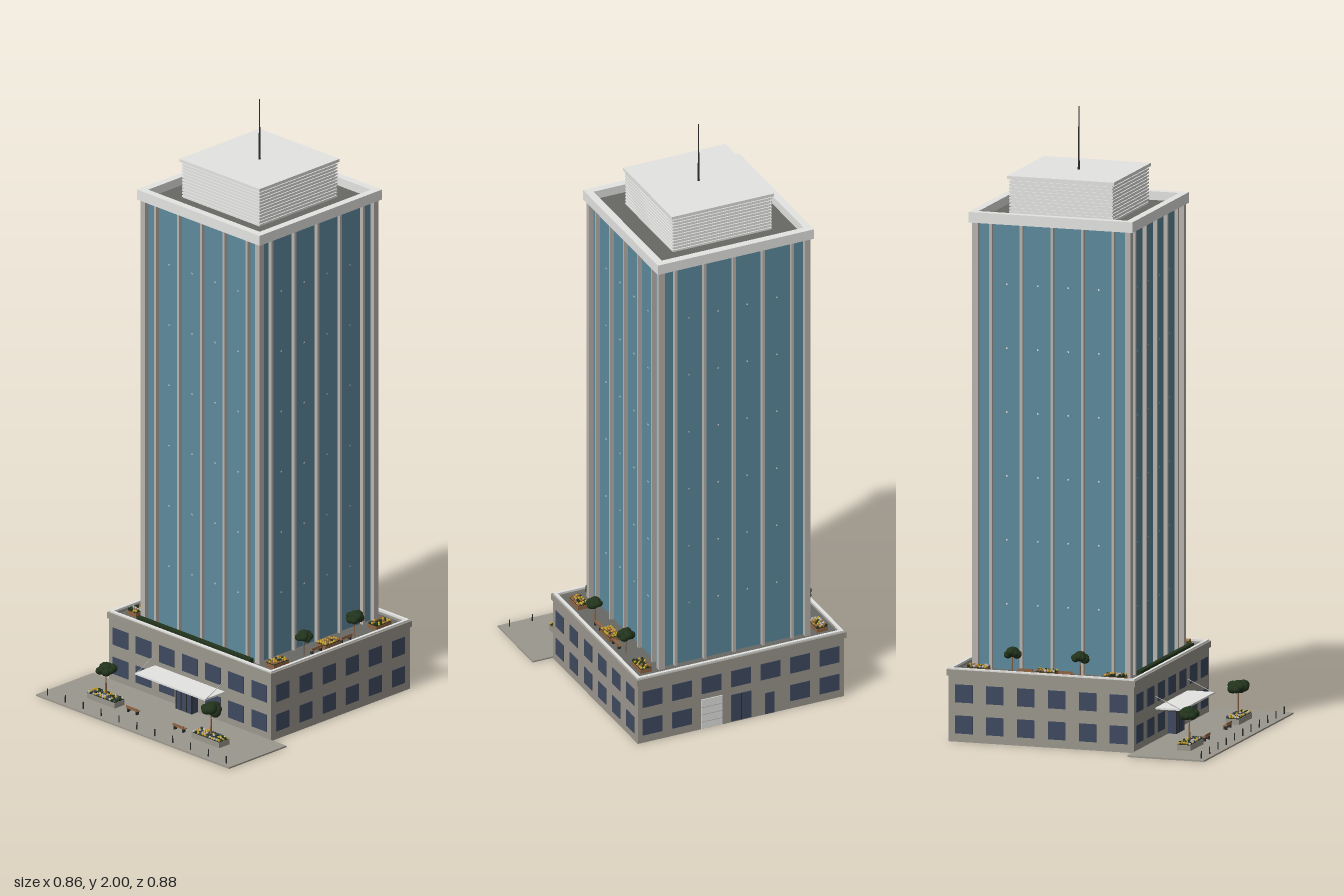
import * as THREE from 'three';
import { mergeGeometries } from 'three/addons/utils/BufferGeometryUtils.js';

const mat = (name, color) => Object.assign(new THREE.MeshStandardMaterial({ color }), { name });

export function createModel() {
  const M = {
    concrete: mat('concrete', 0x9b978e),
    light: mat('light panel', 0xe4e4e3),
    glass: mat('tower glass', 0x5d8a9d),
    window: mat('window glass', 0x3f4a5f),
    roof: mat('roof gravel', 0x686963),
    fin: mat('fin metal', 0xb9b4af),
    leaf: mat('foliage', 0x22341c),
    wood: mat('wood', 0x8f6444),
    metal: mat('dark metal', 0x2d2d2e),
    bloom: mat('yellow blooms', 0xc4a02f),
  };
  const model = new THREE.Group();
  model.name = 'officeTower';
  const CZ = -0.127; // shared centre of tower and podium

  let seed = 7;
  const rand = () => (seed = (seed * 16807) % 2147483647) / 2147483647;

  const group = (name, parent = model, x = 0, y = 0, z = 0) => {
    const g = new THREE.Group();
    g.name = name;
    g.position.set(x, y, z);
    parent.add(g);
    return g;
  };
  const add = (parent, name, geo, material, x = 0, y = 0, z = 0) => {
    const m = new THREE.Mesh(geo, material);
    m.name = name;
    m.position.set(x, y, z);
    parent.add(m);
    return m;
  };
  // box with its base at y
  const box = (parent, name, material, w, h, d, x, y, z) =>
    add(parent, name, new THREE.BoxGeometry(w, h, d), material, x, y + h / 2, z);
  // rectangular frame lying flat, hx and hz are outer half sizes
  const ring = (parent, name, material, hx, hz, t, y, h) => {
    const rect = (a, b, P) => new P([[-a, -b], [a, -b], [a, b], [-a, b]].map(p => new THREE.Vector2(...p)));
    const s = rect(hx, hz, THREE.Shape);
    s.holes.push(rect(hx - t, hz - t, THREE.Path));
    const geo = new THREE.ExtrudeGeometry(s, { depth: h, bevelEnabled: false });
    add(parent, name, geo.rotateX(-Math.PI / 2), material, 0, y, 0);
  };
  const rod = (parent, name, material, a, b, r) => {
    const p = new THREE.Vector3(...a), q = new THREE.Vector3(...b), d = q.clone().sub(p);
    const m = add(parent, name, new THREE.CylinderGeometry(r, r, d.length(), 8), material);
    m.position.copy(p).add(q).multiplyScalar(0.5);
    m.quaternion.setFromUnitVectors(new THREE.Vector3(0, 1, 0), d.normalize());
  };

  // ---- Podium ----
  const podium = group('podium', model, 0, 0, CZ);
  const PX = 0.362, PZ = 0.311;
  box(podium, 'podiumWalls', M.concrete, PX * 2, 0.218, PZ * 2, 0, 0, 0);
  box(podium, 'podiumRoof', M.roof, 0.71, 0.004, 0.62, 0, 0.217, 0);
  ring(podium, 'podiumCoping', M.concrete, 0.367, 0.316, 0.015, 0.212, 0.02);
  ring(podium, 'podiumCap', M.light, 0.361, 0.31, 0.01, 0.23, 0.007);
  ['front', 'right', 'back', 'left'].forEach((side, i) => {
    const face = group(side + 'Facade', podium);
    face.rotation.y = i * Math.PI / 2;
    const n = i % 2 ? 6 : 7, out = i % 2 ? PX : PZ, w = i % 2 ? 0.058 : 0.069;
    for (let k = 0; k < n; k++) {
      const c = k - (n - 1) / 2, u = c * 0.1035;
      for (const y of [0.027, 0.127]) {
        if (y < 0.1 && !(i % 2) && Math.abs(c) < (i ? 2 : 1)) continue; // doors go here
        box(face, 'windowPane', M.window, w, 0.058, 0.004, u, y, out);
      }
    }
    if (side === 'back') {
      // this face is turned round, so its u runs against x
      box(face, 'loadingDoor', M.light, 0.074, 0.105, 0.006, -0.103, 0.002, out);
      for (let k = 1; k < 4; k++)
        box(face, 'loadingDoorRib', M.fin, 0.074, 0.002, 0.007, -0.103, k * 0.026, out);
      box(face, 'rearGlazing', M.window, 0.069, 0.095, 0.004, 0, 0.004, out + 0.001);
      box(face, 'rearGlazingMullion', M.metal, 0.003, 0.095, 0.006, 0, 0.004, out + 0.001);
      box(face, 'serviceDoor', M.window, 0.032, 0.075, 0.005, 0.1, 0.002, out + 0.001);
    }
  });

  // ---- Entrance and canopy ----
  const entrance = group('entrance', model, 0, 0, 0.184);
  box(entrance, 'vestibule', M.window, 0.07, 0.074, 0.028, 0, 0.004, 0.014);
  box(entrance, 'vestibuleRoof', M.metal, 0.074, 0.004, 0.031, 0, 0.077, 0.015);
  for (const x of [-0.035, -0.012, 0.012, 0.035])
    box(entrance, 'doorFrame', M.metal, 0.003, 0.074, 0.003, x, 0.004, 0.028);
  box(entrance, 'canopy', M.light, 0.312, 0.006, 0.09, 0, 0.104, 0.045);
  for (const x of [-0.155, 0.155])
    rod(entrance, 'canopyRod', M.fin, [x, 0.109, 0.083], [x, 0.146, 0], 0.0013);

  // ---- Tower ----
  const tower = group('tower', model, 0, 0, CZ);
  const H = 0.25, Y0 = 0.22, Y1 = 1.657;
  box(tower, 'towerGlass', M.glass, H * 2, Y1 - Y0, H * 2, 0, Y0, 0);
  for (let i = 0; i < 4; i++) {
    const face = group('towerFace', tower);
    face.rotation.y = i * Math.PI / 2;
    box(face, 'cornerPost', M.fin, 0.02, Y1 - Y0, 0.02, 0.256, Y0, 0.256);
    for (const u of [-0.205, -0.1025, 0, 0.1025, 0.205])
      box(face, 'verticalFin', M.fin, 0.009, Y1 - Y0, 0.014, u, Y0, H + 0.006);
    for (const u of [-0.154, -0.051, 0.051, 0.154])
      for (let k = 0; k < 6; k++)
        add(face, 'facadeStud', new THREE.PlaneGeometry(0.005, 0.005), M.light, u, 0.432 + k * 0.206, H + 0.001);
  }
  box(tower, 'towerRoof', M.roof, 0.53, 0.006, 0.53, 0, Y1, 0);
  ring(tower, 'towerParapet', M.light, 0.274, 0.274, 0.025, Y1, 0.034);

  // ---- Rooftop plant room ----
  const plant = group('plantRoom', tower);
  box(plant, 'plantCore', M.light, 0.34, 0.125, 0.34, 0, 1.66, 0);
  for (let k = 0; k < 11; k++)
    box(plant, 'louvreSlat', M.light, 0.348, 0.006, 0.348, 0, 1.666 + k * 0.0108, 0);
  box(plant, 'plantRoomRoof', M.light, 0.358, 0.01, 0.358, 0, 1.786, 0);
  add(plant, 'mastBase', new THREE.CylinderGeometry(0.003, 0.004, 0.03, 10), M.metal, 0, 1.81, 0);
  add(plant, 'mast', new THREE.CylinderGeometry(0.0015, 0.003, 0.18, 8), M.metal, 0, 1.91, 0);

  // ---- Planting and furniture ----
  const tree = (x, y, z, trunk, r) => {
    const g = group('tree', model, x, y, z);
    add(g, 'trunk', new THREE.CylinderGeometry(r * 0.06, r * 0.09, trunk, 7), M.wood, 0, trunk / 2, 0);
    const clumps = [];
    for (let k = 0; k < 9; k++) {
      const a = k * 0.785, q = k === 8 ? 0 : r * 0.55, s = r * (k === 8 ? 0.72 : 0.38 + rand() * 0.22);
      clumps.push(new THREE.IcosahedronGeometry(s, 1).scale(1, 0.85, 1)
        .translate(Math.cos(a) * q, (k === 8 ? 0.15 : (rand() - 0.5) * 0.5) * r, Math.sin(a) * q));
    }
    add(g, 'crown', mergeGeometries(clumps), M.leaf, 0, trunk + r * 0.45, 0);
  };
  const planter = (x, y, z, w, d, h, shell, palette) => {
    const g = group('planter', model, x, y, z);
    box(g, 'planterBox', shell, w, h, d, 0, 0, 0);
    box(g, 'planterSoil', M.leaf, w - 0.003, 0.004, d - 0.003, 0, h - 0.002, 0);
    const nx = Math.round(w / 0.01), nz = Math.round(d / 0.01);
    const lists = palette.map(() => []);
    for (let i = 0; i < nx; i++)
      for (let j = 0; j < nz; j++)
        lists[Math.floor(rand() * palette.length)].push(new THREE.IcosahedronGeometry(0.005, 0)
          .translate((i + 0.5) / nx * w - w / 2, h + 0.003 + rand() * 0.003, (j + 0.5) / nz * d - d / 2));
    lists.forEach((l, k) => l.length && add(g, 'plants', mergeGeometries(l), palette[k]));
  };
  const bench = (x, y, z, turn) => {
    const g = group('bench', model, x, y, z);
    g.rotation.y = turn;
    box(g, 'seat', M.wood, 0.048, 0.002, 0.014, 0, 0.011, 0);
    box(g, 'backRest', M.wood, 0.048, 0.007, 0.002, 0, 0.015, -0.008);
    for (const s of [-0.019, 0.019]) box(g, 'benchLeg', M.metal, 0.003, 0.012, 0.012, s, 0, -0.002);
  };

  // roof garden on both sides
  for (const s of [-1, 1]) {
    for (const z of [-0.356, -0.127, 0.103])
      planter(s * 0.309, 0.22, z, 0.04, 0.067, 0.014, M.wood,
        s < 0 ? [M.leaf, M.wood, M.wood, M.fin, M.bloom] : [M.leaf, M.bloom, M.bloom, M.wood]);
    for (const z of [-0.242, -0.015]) tree(s * 0.31, 0.22, z, 0.054, 0.028);
    for (const z of [-0.193, -0.06]) bench(s * 0.317, 0.22, z, -s * Math.PI / 2);
  }
  box(model, 'hedge', M.leaf, 0.508, 0.024, 0.016, 0, 0.22, 0.162);

  // ---- Plaza ----
  const plaza = group('plaza');
  box(plaza, 'paving', M.concrete, 0.864, 0.005, 0.257, 0, 0, 0.3135);
  for (let k = -5; k <= 5; k++)
    add(plaza, 'bollard', new THREE.CylinderGeometry(0.0018, 0.0022, 0.024, 8), M.metal, k * 0.08, 0.017, 0.422);
  for (const s of [-1, 1]) {
    planter(s * 0.234, 0.005, 0.327, 0.124, 0.045, 0.018, M.concrete, [M.leaf, M.leaf, M.window, M.bloom, M.fin]);
    tree(s * 0.235, 0.023, 0.325, 0.074, 0.034);
    bench(s * 0.104, 0.005, 0.333, Math.PI);
  }
  return model;
}
